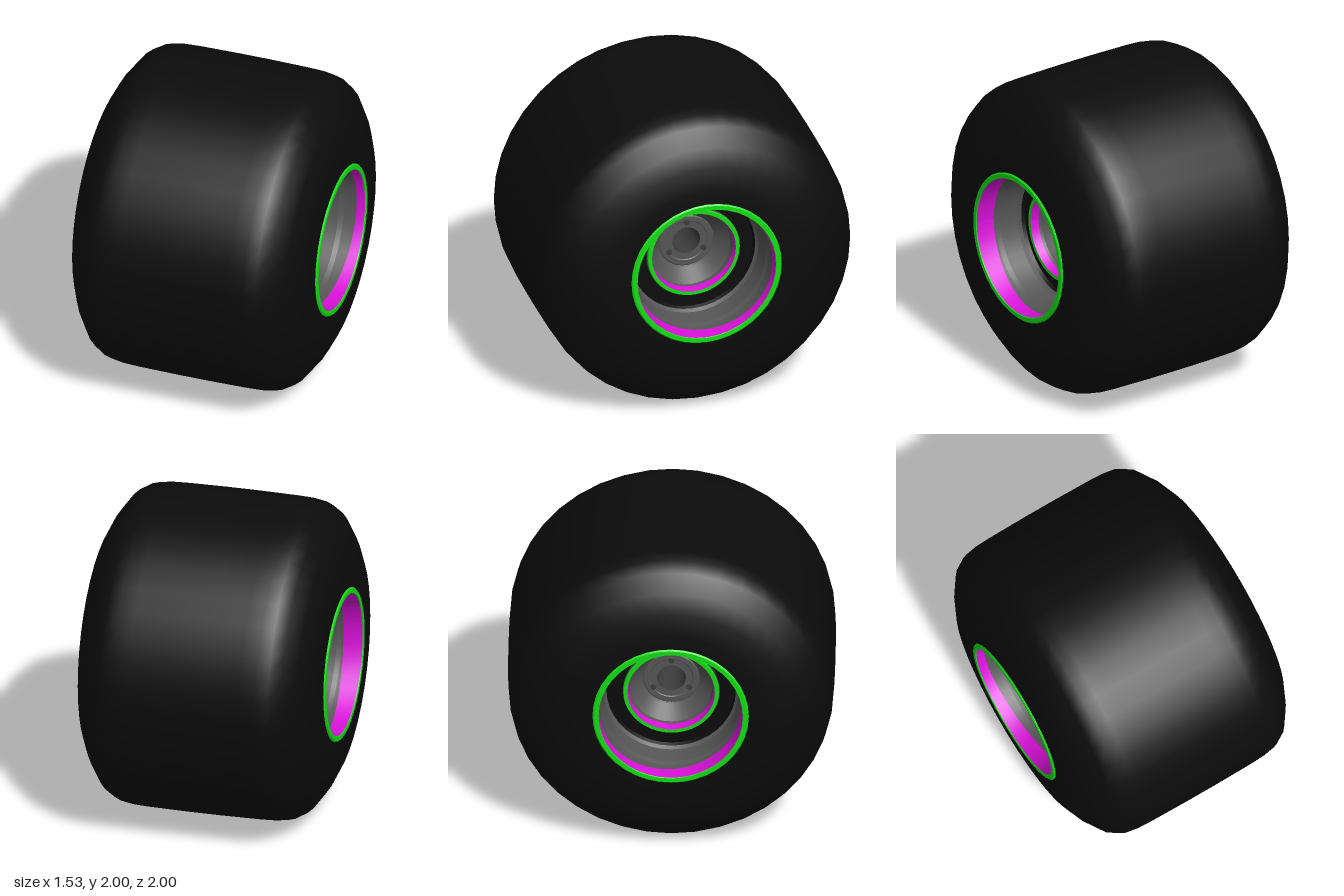
import * as THREE from 'three';
import { mergeGeometries } from 'three/addons/utils/BufferGeometryUtils.js';

const SEGMENTS = 40;
const paint = (color) => new THREE.MeshStandardMaterial({ color });
const rubber = paint(0x0b0b0b);
const metal = paint(0x555555);
const darkMetal = paint(0x3c3c3c);
const green = paint(0x14dc14);
const magenta = paint(0xd810d8);

// Turns a profile of [radius, x] points around the x axis.
function turn(points) {
  const profile = points.map(([r, x]) => new THREE.Vector2(r, x));
  return new THREE.LatheGeometry(profile, SEGMENTS).rotateZ(-Math.PI / 2);
}

// Same, but with a sharp edge at every profile point.
function turnSharp(points) {
  return mergeGeometries(points.slice(1).map((p, i) => turn([points[i], p])));
}

function part(name, geometry, material) {
  const mesh = new THREE.Mesh(geometry, material);
  mesh.name = name;
  return mesh;
}

// Painted band inside a cup; its inner edge is deeper on one side.
function paintedBand(r, x, depth, slope, skew) {
  const geometry = turn([[r, x], [r - slope * depth, x - depth]]);
  const pos = geometry.attributes.position;
  for (let i = 0; i < pos.count; i++) {
    if (pos.getX(i) > x - depth / 2) continue;
    const d = depth * (1 + 0.4 * skew * pos.getZ(i) / r);
    const k = (r - slope * d) / (r - slope * depth);
    pos.setXYZ(i, x - d, pos.getY(i) * k, pos.getZ(i) * k);
  }
  geometry.computeVertexNormals();
  return geometry;
}

// One wheel face, built looking along +x.
function wheelFace(sign) {
  const face = new THREE.Group();
  face.name = sign > 0 ? 'leftFace' : 'rightFace';
  face.add(
    part('rimLip', turnSharp([[0.478, 0.73], [0.478, 0.757], [0.47, 0.765], [0.443, 0.765], [0.44, 0.76]]), green),
    part('rimBand', paintedBand(0.44, 0.76, 0.085, 0.1, sign), magenta),
    part('rimBarrel', turnSharp([[0.443, 0.76], [0.43, 0.63], [0.42, 0.6], [0.41, 0.48], [0.395, 0.46]]), metal),
    part('dish', turnSharp([[0.395, 0.46], [0.385, 0.44], [0.29, 0.44]]), rubber),
    part('hubWall', turn([[0.295, 0.43], [0.295, 0.47]]), darkMetal),
    part('hubLip', turnSharp([[0.295, 0.47], [0.29, 0.48], [0.267, 0.48]]), green),
    part('hubBand', paintedBand(0.267, 0.48, 0.06, 0.2, sign), magenta),
    part('hubCup', turnSharp([[0.27, 0.48], [0.252, 0.41], [0.18, 0.32]]), metal),
    part('hubPlate', turnSharp([[0.18, 0.32], [0.173, 0.31], [0.167, 0.315], [0.135, 0.315], [0.13, 0.31], [0.088, 0.31]]), metal)
  );
  // Three bolts around the bore
  for (let i = 0; i < 3; i++) {
    const a = Math.PI / 2 + (i * Math.PI * 2) / 3;
    const bolt = part('bolt', new THREE.CylinderGeometry(0.017, 0.019, 0.02, 16).rotateZ(-Math.PI / 2), darkMetal);
    bolt.position.set(0.313, 0.127 * Math.sin(a), 0.127 * Math.cos(a));
    face.add(bolt);
  }
  if (sign < 0) face.rotation.y = Math.PI;
  return face;
}

export function createModel() {
  const model = new THREE.Group();
  model.name = 'wheel';
  const axle = new THREE.Group();
  axle.name = 'wheelAssembly';
  axle.position.y = 1;
  model.add(axle);

  // Tyre: half profile mirrored across the middle
  const half = [
    [1.0, 0.1], [0.997, 0.35], [0.993, 0.45], [0.98, 0.53], [0.935, 0.605],
    [0.83, 0.68], [0.715, 0.735], [0.57, 0.752], [0.46, 0.755]
  ];
  const tyreProfile = [...half.map(([r, x]) => [r, -x]).reverse(), ...half];
  axle.add(part('tyre', turn(tyreProfile), rubber));

  // Axle bore running through the hub
  axle.add(part('bore', turn([[0.088, 0.31], [0.088, -0.31]]), darkMetal));

  axle.add(wheelFace(1), wheelFace(-1));
  return model;
}
